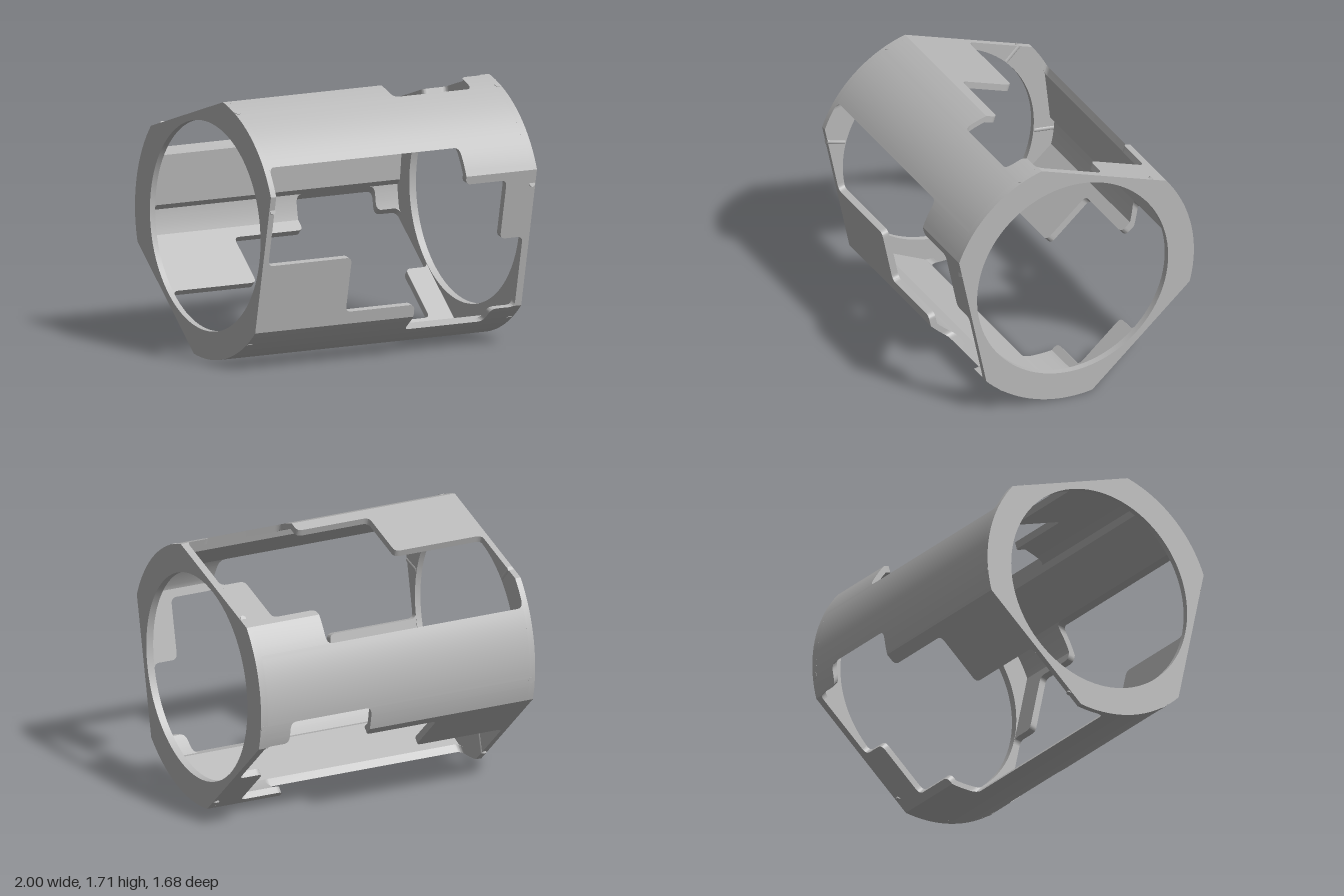
import * as THREE from 'three';
import { toCreasedNormals } from 'three/addons/utils/BufferGeometryUtils.js';

// Tube along x: a round body with three flats, each flat pierced by a stepped window.
const CY = 0.867, CZ = 0.03;              // tube axis
const R = 0.867, FLAT = 0.73;             // outer radius, distance of the flats
const RI = 0.83, FLATI = 0.685;           // inside of the thin skin
const BORE = 0.683, CREASE = 0.468;
const X0 = -0.96, X1 = 0.95;              // inner faces of the end rings
const T0 = -0.594, T1 = 0.622;            // extent of the window zone across a flat
const SECTORS = [-12, 108, 228].map(THREE.MathUtils.degToRad);

const outerN = t => Math.abs(t) <= CREASE ? FLAT : Math.sqrt(R * R - t * t);
const innerN = t => Math.abs(t) <= CREASE ? FLATI : Math.sqrt(RI * RI - t * t);

// x along the tube, n along a flat's normal, t across the flat
function place(phi, x, n, t) {
  const s = Math.sin(phi), c = Math.cos(phi);
  return [x, CY + n * s + t * c, CZ + n * c - t * s];
}

function finish(geometry) {
  return toCreasedNormals(geometry, 0.3);
}

// Collects quads, leaving out triangles without area
function quadBuilder() {
  const pos = [], a = new THREE.Vector3(), b = new THREE.Vector3(), c = new THREE.Vector3();
  const tri = (p, q, r) => {
    a.set(...p); b.set(...q).sub(a); c.set(...r).sub(a);
    if (b.cross(c).length() > 1e-8) pos.push(...p, ...q, ...r);
  };
  return {
    quad(p, q, r, s, flip) {
      if (flip) [q, s] = [s, q];
      tri(p, q, r); tri(p, r, s);
    },
    build() {
      const g = new THREE.BufferGeometry();
      g.setAttribute('position', new THREE.Float32BufferAttribute(pos, 3));
      return finish(g);
    }
  };
}

// Rounds the corners of an (x, t) path and adds rows so that curved skin stays smooth
function windowEdge(points, radius = 0.04) {
  const p = points.map(q => new THREE.Vector2(...q)), path = [p[0]];
  for (let i = 1; i < p.length - 1; i++) {
    const toward = q => q.clone().sub(p[i]).setLength(radius).add(p[i]);
    path.push(...new THREE.QuadraticBezierCurve(toward(p[i - 1]), p[i], toward(p[i + 1])).getPoints(6));
  }
  path.push(p[p.length - 1]);
  const rows = [-CREASE, CREASE];
  for (let t = -0.58; t < T1; t += 0.03) rows.push(t);
  rows.sort((a, b) => a - b);
  const out = [path[0]];
  for (let i = 1; i < path.length; i++) {
    const a = path[i - 1], b = path[i];
    for (const t of rows) {
      if (t > a.y + 1e-4 && t < b.y - 1e-4) out.push(a.clone().lerp(b, (t - a.y) / (b.y - a.y)));
    }
    out.push(b);
  }
  return out;
}

const LEFT_EDGE = windowEdge([[0.48, T0], [0.19, T0], [0.19, -0.385], [-0.33, -0.385],
  [-0.33, -0.01], [X0, -0.01], [X0, T1], [0, T1]]);
const RIGHT_EDGE = windowEdge([[0.48, T0], [0.78, T0], [0.78, -0.475], [X1, -0.475], [X1, 0.01],
  [0.78, 0.01], [0.78, 0.413], [0.47, 0.413], [0.47, T1], [0, T1]]);

// Skin between an end ring and the window edge, with the window's cut wall
function skinGeometry(phi, edge, xEnd, flip) {
  const q = quadBuilder();
  for (let i = 1; i < edge.length; i++) {
    const a = edge[i - 1], b = edge[i];
    const O = (x, t) => place(phi, x, outerN(t), t);
    const I = (x, t) => place(phi, x, innerN(t), t);
    q.quad(O(xEnd, a.y), O(a.x, a.y), O(b.x, b.y), O(xEnd, b.y), flip);
    q.quad(I(xEnd, a.y), I(a.x, a.y), I(b.x, b.y), I(xEnd, b.y), !flip);
    if (Math.abs(a.x - xEnd) + Math.abs(b.x - xEnd) > 1e-4) {
      q.quad(O(a.x, a.y), I(a.x, a.y), I(b.x, b.y), O(b.x, b.y), flip);
    }
  }
  return q.build();
}

// Long rib between one window zone and the next: curved outside, flat inside, small ledge
function ribGeometry(phi) {
  const q = quadBuilder(), next = phi + Math.PI * 2 / 3;
  const a0 = phi + Math.asin(T1 / R), a1 = next + Math.asin(T0 / R), steps = 12;
  for (let i = 0; i < steps; i++) {
    const a = a0 + (a1 - a0) * i / steps, b = a0 + (a1 - a0) * (i + 1) / steps;
    q.quad(place(a, X0, R, 0), place(a, X1, R, 0), place(b, X1, R, 0), place(b, X0, R, 0));
  }
  const inside = x => [place(phi, x, innerN(T1), T1), place(next, x, 0.534, T0), place(next, x, innerN(T0), T0)];
  const l = inside(X0), r = inside(X1);
  for (let i = 0; i < 2; i++) q.quad(l[i], r[i], r[i + 1], l[i + 1], true);
  return q.build();
}

// End ring: round outline with three flats and a round bore
function ringGeometry(x, depth) {
  const half = Math.asin(CREASE / R), pts = [];
  for (const phi of SECTORS) {
    const from = phi + half, to = phi + Math.PI * 2 / 3 - half;
    for (let i = 0; i <= 20; i++) {
      const p = place(from + (to - from) * i / 20, 0, R, 0);
      pts.push(new THREE.Vector2(-p[2], p[1]));
    }
  }
  const shape = new THREE.Shape(pts);
  shape.holes.push(new THREE.Path().absarc(-CZ, CY, BORE, 0, Math.PI * 2, true));
  const g = new THREE.ExtrudeGeometry(shape, { depth, bevelEnabled: false, curveSegments: 48 });
  g.rotateY(Math.PI / 2).translate(x, 0, 0);
  return finish(g);
}

export function createModel() {
  const model = new THREE.Group();
  model.name = 'tubularFrame';
  const gray = new THREE.MeshStandardMaterial({ color: 0xb8b8b8, side: THREE.DoubleSide });
  gray.name = 'lightGray';
  const add = (geometry, name) => {
    const mesh = new THREE.Mesh(geometry, gray);
    mesh.name = name;
    model.add(mesh);
    return mesh;
  };

  // End rings
  add(ringGeometry(-1, X0 + 1), 'rightEndRing');
  add(ringGeometry(X1, 1 - X1), 'leftEndRing');

  // Three equal sides
  SECTORS.forEach((phi, i) => {
    add(skinGeometry(phi, LEFT_EDGE, X0, false), `windowSkinRight${i + 1}`);
    add(skinGeometry(phi, RIGHT_EDGE, X1, true), `windowSkinLeft${i + 1}`);
    add(ribGeometry(phi), `rib${i + 1}`);

    // Small radial pins in both rings
    for (const x of [-0.975, 0.975]) {
      for (const t of [0.37, -0.585]) {
        const n = outerN(t), r = Math.hypot(n, t), angle = phi + Math.atan2(t, n);
        const pin = add(new THREE.CylinderGeometry(0.02, 0.02, r + 0.003 - 0.69, 16), 'ringPin');
        pin.position.set(...place(angle, x, (r + 0.003 + 0.69) / 2, 0));
        pin.rotation.x = Math.PI / 2 - angle;
      }
    }
  });
  return model;
}
